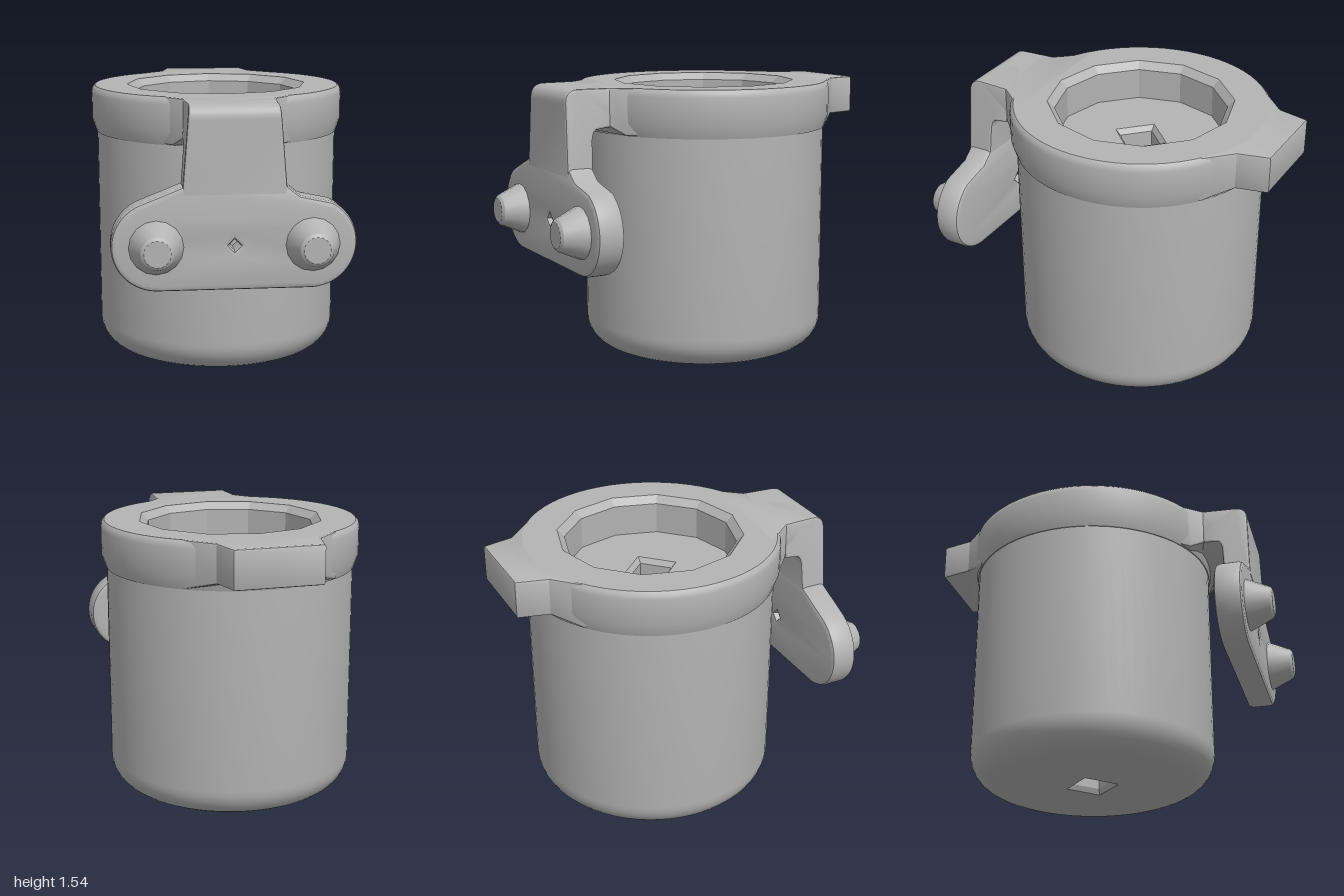
import * as THREE from 'three';
import { toCreasedNormals } from 'three/addons/utils/BufferGeometryUtils.js';

const CZ = -0.125; // z of the cup axis

export function createModel() {
  const group = new THREE.Group();
  const grey = new THREE.MeshStandardMaterial({ color: 0xb4b4b4 });
  grey.name = 'plain grey';

  const V = (list) => list.map(([x, y]) => new THREE.Vector2(x, y));
  const add = (name, geo, crease = 0.4) => {
    const mesh = new THREE.Mesh(toCreasedNormals(geo, crease), grey);
    mesh.name = name;
    group.add(mesh);
    return mesh;
  };
  const lathe = (name, profile, sides, crease) => {
    const mesh = add(name, new THREE.LatheGeometry(V(profile), sides), crease);
    mesh.position.z = CZ;
    return mesh;
  };
  const ring = (r, n) => {
    const pts = [];
    for (let i = 0; i < n; i++) {
      const a = (i / n) * Math.PI * 2;
      pts.push(new THREE.Vector2(Math.sin(a) * r, Math.cos(a) * r));
    }
    return pts;
  };
  // Flat disc with a polygonal hole, facing up or down
  const disc = (name, rOut, nOut, rIn, nIn, y, up) => {
    const shape = new THREE.Shape(ring(rOut, nOut));
    shape.holes.push(new THREE.Path(ring(rIn, nIn)));
    const geo = new THREE.ShapeGeometry(shape);
    geo.rotateX(up ? -Math.PI / 2 : Math.PI / 2);
    add(name, geo).position.set(0, y, CZ);
  };
  const extrude = (shape, thick, bevel) => {
    const geo = new THREE.ExtrudeGeometry(shape, {
      depth: thick - 2 * bevel, bevelThickness: bevel, bevelSize: bevel,
      bevelOffset: -bevel, bevelSegments: 2, curveSegments: 16,
    });
    geo.translate(0, 0, bevel);
    return geo;
  };

  // Cup wall with rounded foot and flared rim
  const foot = [];
  for (let i = 0; i <= 8; i++) {
    const a = (i / 8) * Math.PI / 2;
    foot.push([0.52 + 0.17 * Math.sin(a), 0.17 - 0.17 * Math.cos(a)]);
  }
  lathe('cupBody', [...foot, [0.69, 1.285]], 64);
  lathe('rim', [[0.685, 1.28], [0.695, 1.28], [0.72, 1.355], [0.72, 1.5],
    [0.715, 1.525], [0.7, 1.54]], 64, 0.6);

  // Twelve-sided recess, its floor, and the square hole through the cup
  disc('rimTop', 0.7, 64, 0.515, 12, 1.54, true);
  lathe('recessWall', [[0.515, 1.54], [0.475, 1.5], [0.475, 1.32]], 12, 0.2);
  disc('recessFloor', 0.475, 12, 0.16, 4, 1.32, true);
  lathe('centreHole', [[0.16, 1.32], [0.13, 1.29], [0.13, 0.03], [0.15, 0]], 4, 0.2);
  disc('cupBase', 0.52, 64, 0.15, 4, 0, false);

  // Tabs flaring out of the rim; their undersides slope down to the cup
  const tab = (name, half) => {
    const left = half.map(([x, z]) => [-x, z]).reverse();
    const geo = extrude(new THREE.Shape(V([...half, ...left])), 0.21, 0.012);
    geo.rotateX(Math.PI / 2);
    geo.translate(0, 1.54, 0);
    const p = geo.attributes.position;
    for (let i = 0; i < p.count; i++) {
      if (p.getY(i) < 1.4 && Math.abs(p.getZ(i) - CZ) < 0.68) p.setY(i, p.getY(i) - 0.045);
    }
    add(name, geo);
  };
  tab('backTab', [[0.24, -1], [0.28, -0.83], [0.42, -0.69]]);
  tab('frontTab', [[0.4, 0.42], [0.3, 0.535], [0.247, 0.6], [0.235, 0.78]]);

  // Arm bending down from the front tab, wider toward the bottom
  const side = new THREE.Shape();
  side.moveTo(0.6, 1.54);
  side.lineTo(0.6, 1.33);
  side.lineTo(0.68, 1.32);
  side.quadraticCurveTo(0.7, 1.31, 0.705, 1.27);
  side.lineTo(0.715, 1.08);
  side.lineTo(0.862, 1.08);
  side.lineTo(0.855, 1.46);
  side.quadraticCurveTo(0.855, 1.54, 0.775, 1.54);
  const arm = extrude(side, 0.5, 0.012);
  arm.rotateY(-Math.PI / 2);
  arm.translate(0.25, 0, 0);
  const p = arm.attributes.position;
  for (let i = 0; i < p.count; i++) {
    p.setX(i, p.getX(i) * (0.235 + (1.54 - p.getY(i)) * 0.083) / 0.25);
  }
  add('arm', arm);

  // Rounded face plate with a small diamond hole
  const face = new THREE.Shape();
  face.moveTo(-0.4, 0.57);
  face.lineTo(0.4, 0.57);
  face.absarc(0.4, 0.812, 0.242, -Math.PI / 2, 1.1, false);
  face.lineTo(0.34, 1.065);
  face.lineTo(0.265, 1.125);
  face.lineTo(-0.265, 1.125);
  face.absarc(-0.4, 0.812, 0.242, 1.98, Math.PI * 1.5, false);
  face.holes.push(new THREE.Path(V([[0, 0.84], [-0.03, 0.81], [0, 0.78], [0.03, 0.81]])));
  const plate = extrude(face, 0.15, 0.025);
  plate.translate(0, 0, 0.71);
  add('facePlate', plate, 0.6);

  // Tapered knobs with chamfered tips
  for (const s of [-1, 1]) {
    const knob = new THREE.LatheGeometry(
      V([[0.145, 0], [0.14, 0.02], [0.087, 0.138], [0.07, 0.15], [0, 0.15]]), 16);
    knob.rotateX(Math.PI / 2);
    add(s > 0 ? 'leftKnob' : 'rightKnob', knob, 0.5).position.set(s * 0.408, 0.808, 0.85);
  }
  return group;
}
